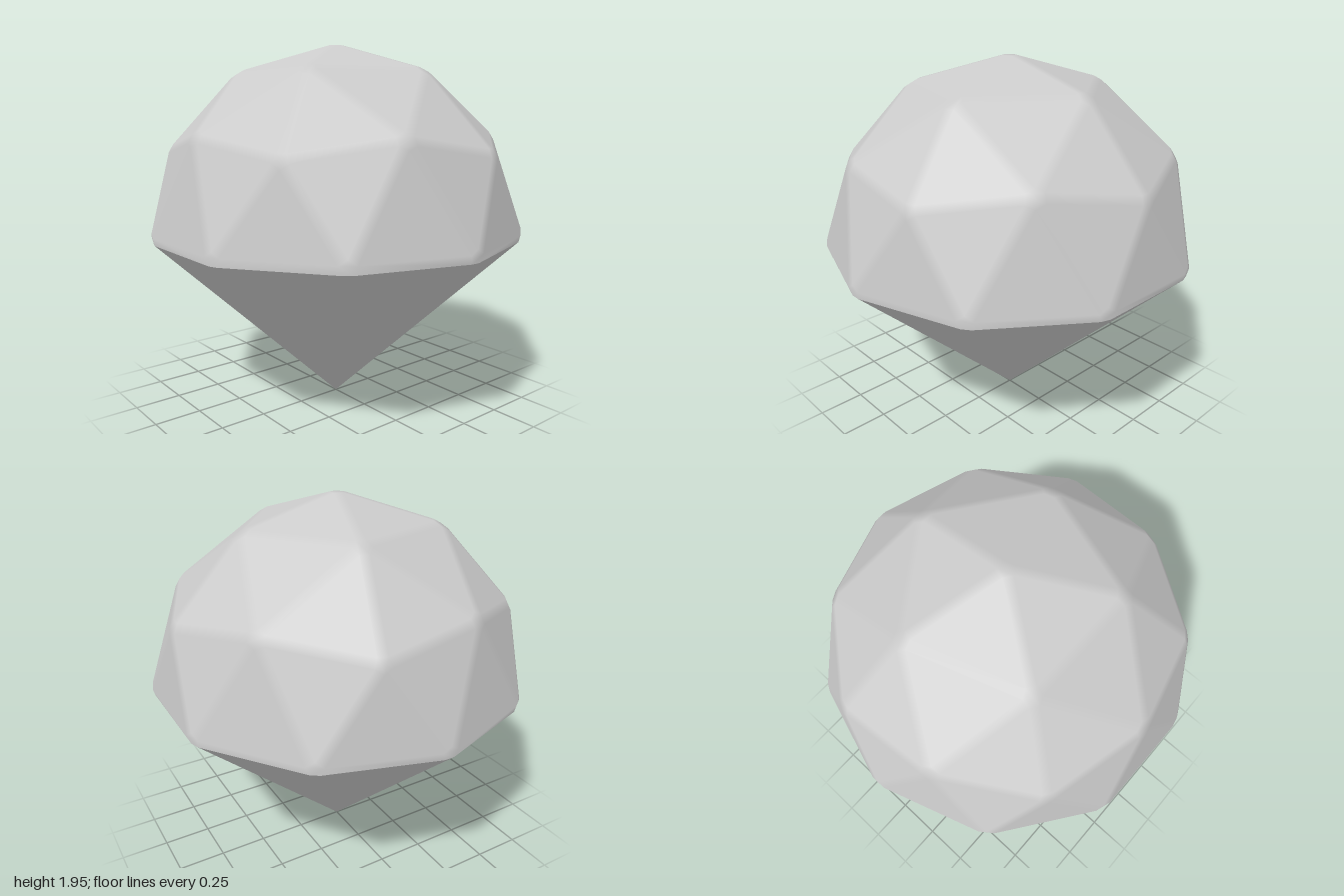
import * as THREE from 'three';
import { ConvexGeometry } from 'three/addons/geometries/ConvexGeometry.js';

const R = 1.012;      // dome radius
const EQ = 0.95;      // height of the girdle
const BEVEL = 0.025;  // half width of the bevel strips
const APEX = new THREE.Vector3(0, 0, 0);
const key = (v) => [v.x, v.y, v.z].map((n) => Math.round(n * 1e4)).join();

// ring of points on the dome at a given latitude (degrees)
function ring(count, latitude, startAngle) {
  const lat = THREE.MathUtils.degToRad(latitude);
  return Array.from({ length: count }, (_, i) => {
    const a = THREE.MathUtils.degToRad(startAngle) + (i / count) * Math.PI * 2;
    return new THREE.Vector3(Math.cos(lat) * Math.cos(a) * R, EQ + Math.sin(lat) * R, Math.cos(lat) * Math.sin(a) * R);
  });
}

function triangles(geometry) {
  const p = geometry.attributes.position;
  return Array.from({ length: p.count / 3 }, (_, t) =>
    [0, 1, 2].map((k) => new THREE.Vector3().fromBufferAttribute(p, t * 3 + k)));
}

const faceNormal = (t) => new THREE.Triangle(...t).getNormal(new THREE.Vector3());

function makeMesh(name, positions, normals) {
  const g = new THREE.BufferGeometry();
  g.setAttribute('position', new THREE.Float32BufferAttribute(positions, 3));
  g.setAttribute('normal', new THREE.Float32BufferAttribute(normals, 3));
  const mesh = new THREE.Mesh(g, new THREE.MeshStandardMaterial({ color: 0xcccccc }));
  mesh.name = name;
  return mesh;
}

export function createModel() {
  // sharp-edged gem: geodesic half dome over a ten-sided point
  const sharp = new ConvexGeometry([
    new THREE.Vector3(0, EQ + R, 0),
    ...ring(5, 58.283, 0), ...ring(5, 31.717, 36), ...ring(5, 26.565, 0),
    ...ring(10, 0, 18), APEX,
  ]);

  // pull the corners of every facet inward; the gaps become the bevels
  const corners = new Map();
  for (const tri of triangles(sharp)) {
    const normal = faceNormal(tri);
    const lower = tri.some((v) => v.y < 0.01);
    tri.forEach((v, k) => {
      if (v.y < 0.01) return;
      const a = tri[(k + 1) % 3].clone().sub(v).normalize();
      const b = tri[(k + 2) % 3].clone().sub(v).normalize();
      const point = v.clone().addScaledVector(a.clone().add(b), BEVEL / a.clone().cross(b).length());
      corners.set(key(point), { point, normal, lower });
    });
  }
  const bevelled = new ConvexGeometry([...[...corners.values()].map((c) => c.point), APEX]);

  // facets stay flat, bevels blend between them, the girdle keeps a hard lower edge
  const dome = { pos: [], nor: [] }, base = { pos: [], nor: [] };
  for (const tri of triangles(bevelled)) {
    const info = tri.map((v) => corners.get(key(v)));
    const isBase = info.every((c) => !c || c.lower);
    const part = isBase ? base : dome;
    const flat = faceNormal(tri);
    tri.forEach((v, k) => {
      let n = info[k] ? info[k].normal : flat;
      if (!isBase && info[k] && info[k].lower) n = new THREE.Vector3(v.x, 0, v.z).normalize();
      part.pos.push(v.x, v.y, v.z);
      part.nor.push(n.x, n.y, n.z);
    });
  }

  const group = new THREE.Group();
  group.name = 'gem';
  group.add(makeMesh('facetedDome', dome.pos, dome.nor), makeMesh('pointedBase', base.pos, base.nor));
  return group;
}
